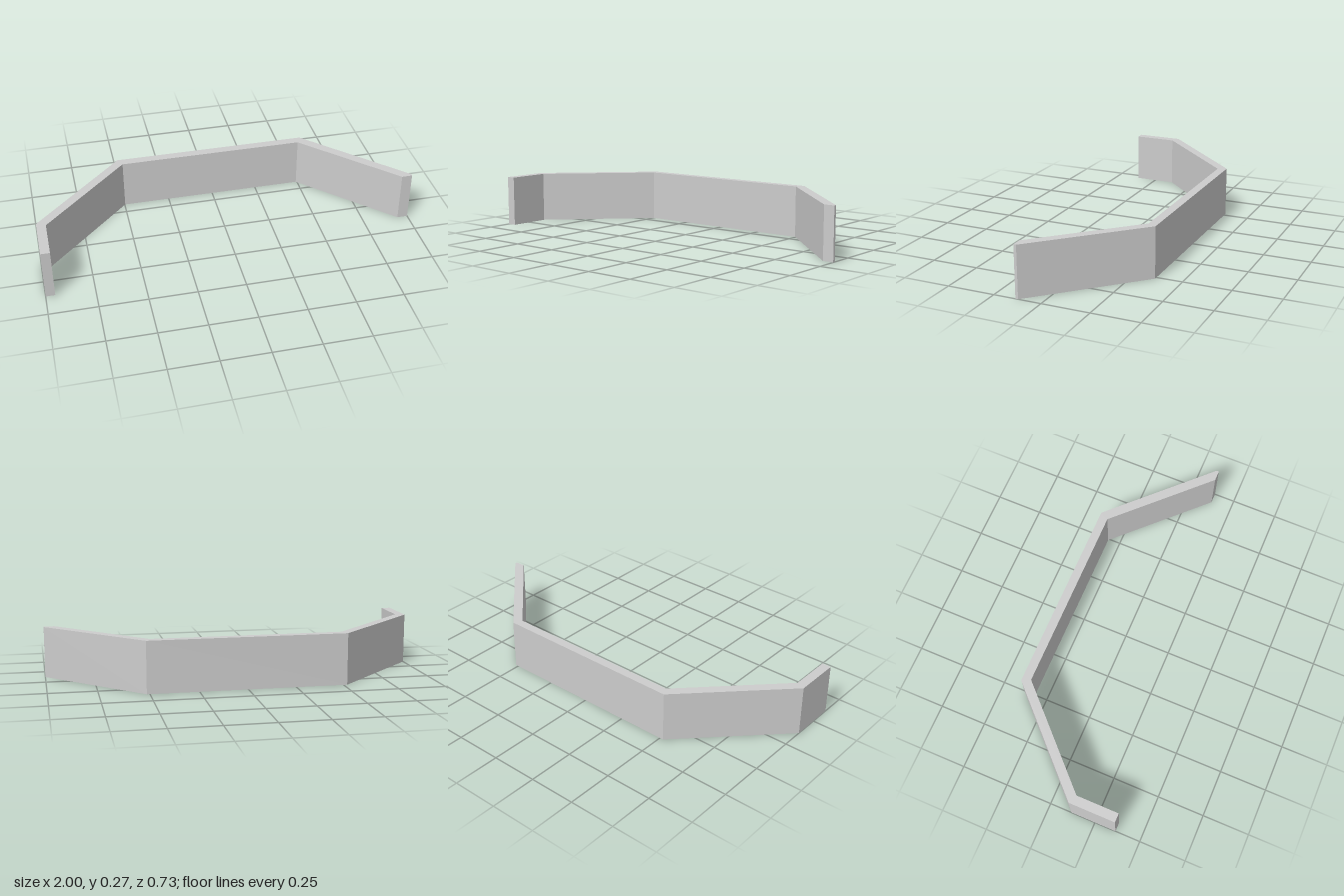
import * as THREE from 'three';

const HEIGHT = 0.27;

export function createModel() {
  const group = new THREE.Group();
  group.name = 'angledWall';
  const grey = new THREE.MeshStandardMaterial({ color: 0xcccccc });
  grey.name = 'light grey';

  // Plan outline of the folded wall as [x, z]
  const outer = [[-1, 0.365], [-1, 0.117], [-0.519, -0.364], [0.516, -0.364], [1, 0.12]];
  const inner = [[1, 0.134], [0.944, 0.134], [0.493, -0.318], [-0.497, -0.318], [-0.952, 0.138], [-0.952, 0.365]];
  const outline = [...outer, ...inner].map(([x, z]) => new THREE.Vector2(x, -z));

  // Raise the outline straight up from the ground
  const geometry = new THREE.ExtrudeGeometry(new THREE.Shape(outline), { depth: HEIGHT, bevelEnabled: false });
  geometry.rotateX(-Math.PI / 2);

  const wall = new THREE.Mesh(geometry, grey);
  wall.name = 'wall';
  group.add(wall);
  return group;
}
